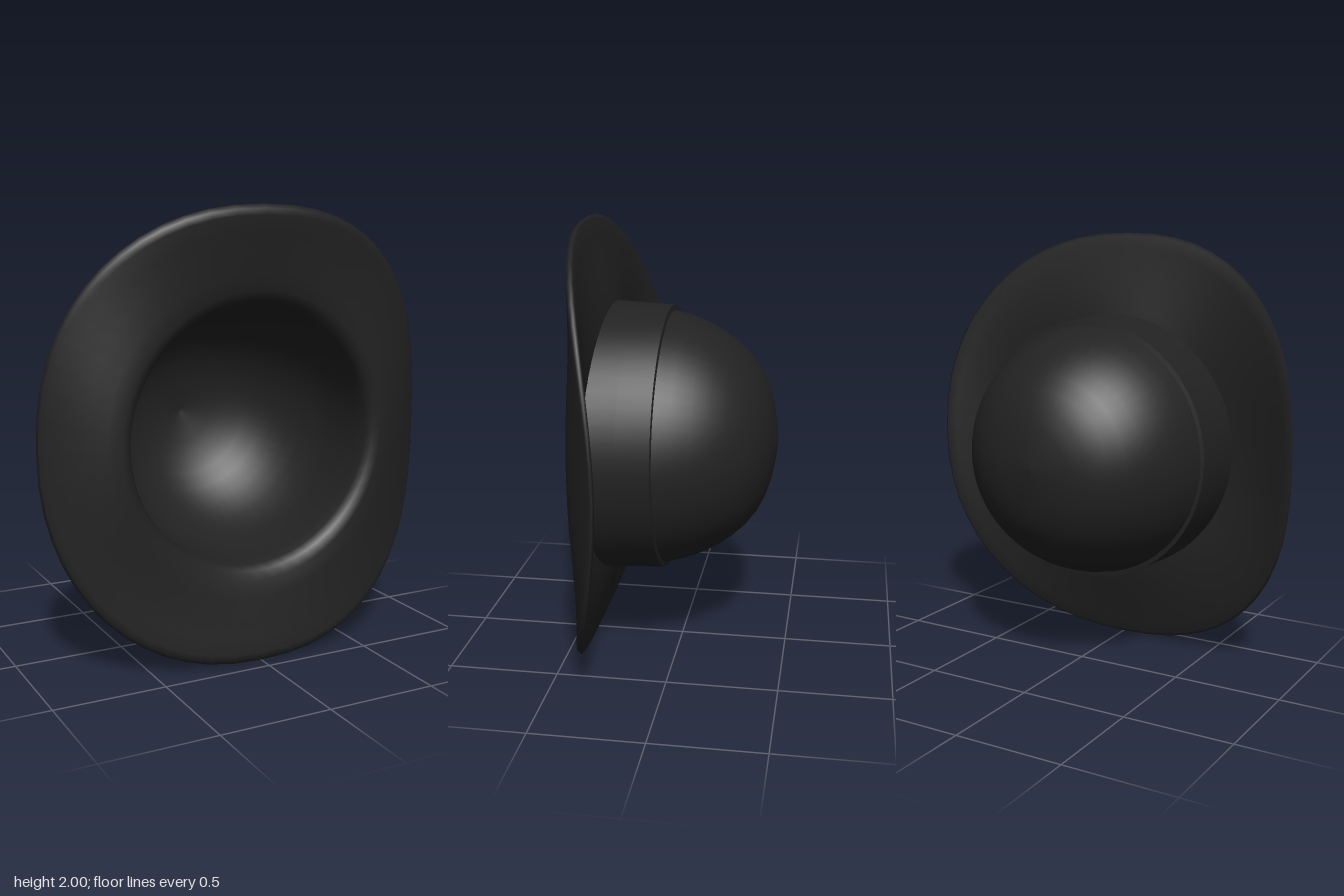
import * as THREE from 'three';

const SEG = 56;
const felt = new THREE.MeshStandardMaterial({ color: 0x222222 });
felt.name = 'black felt';

// One closed ring per station: [rx, ry, z at the sides, z at the ends, squareness]
function ringPositions(stations) {
  const pos = [];
  for (const [rx, ry, zSide, zEnd, n = 2] of stations) {
    for (let j = 0; j < SEG; j++) {
      const t = (j / SEG) * Math.PI * 2;
      const c = Math.cos(t), s = Math.sin(t);
      const px = Math.sign(c) * Math.abs(c) ** (2 / n);
      const py = Math.sign(s) * Math.abs(s) ** (2 / n);
      const k = Math.abs(py) ** 1.9;
      pos.push(rx * px, 1 + ry * py, zSide + (zEnd - zSide) * k);
    }
  }
  return pos;
}

// Quads between the rings from station a to station b
function ringIndex(a, b) {
  const idx = [];
  for (let i = a; i < b; i++) {
    for (let j = 0; j < SEG; j++) {
      const k = (j + 1) % SEG;
      const p = i * SEG + j, q = (i + 1) * SEG + j;
      const r = (i + 1) * SEG + k, s = i * SEG + k;
      idx.push(p, q, r, p, r, s);
    }
  }
  return idx;
}

function ringGeometry(stations) {
  const g = new THREE.BufferGeometry();
  g.setAttribute('position', new THREE.Float32BufferAttribute(ringPositions(stations), 3));
  g.setIndex(ringIndex(0, stations.length - 1));
  g.computeVertexNormals();
  return g;
}

export function createModel() {
  const hat = new THREE.Group();
  hat.name = 'bowlerHat';
  const add = (name, geometry) => {
    const mesh = new THREE.Mesh(geometry, felt);
    mesh.name = name;
    hat.add(mesh);
  };

  // Dome profile: radius, z
  const dome = [
    [0.583, 0.05], [0.562, -0.03], [0.532, -0.11], [0.495, -0.18], [0.45, -0.245],
    [0.395, -0.305], [0.33, -0.355], [0.255, -0.393], [0.17, -0.419], [0.08, -0.435], [0.001, -0.445],
  ];
  const inside = dome.map(([r, z]) => [Math.max(r - 0.022, 0.001), Math.max(r - 0.022, 0.001), z + 0.025, z + 0.025]).reverse();

  const liningPart = [...inside, [0.57, 0.57, 0.2, 0.2], [0.575, 0.575, 0.29, 0.29]];
  const brimPart = [
    // Rolled mouth and underside
    [0.582, 0.58, 0.345, 0.34, 2], [0.6, 0.6, 0.382, 0.375, 2], [0.635, 0.64, 0.394, 0.398, 2.03],
    [0.7, 0.71, 0.376, 0.41, 2.08], [0.78, 0.8, 0.338, 0.424, 2.15], [0.86, 0.89, 0.285, 0.438, 2.22],
    [0.915, 0.955, 0.241, 0.449, 2.28],
    // Rounded edge
    [0.935, 0.982, 0.224, 0.446, 2.3], [0.945, 1.0, 0.213, 0.425, 2.3], [0.932, 0.985, 0.206, 0.412, 2.3],
    // Upper side back to the crown
    [0.895, 0.93, 0.225, 0.398, 2.25], [0.82, 0.84, 0.268, 0.372, 2.18], [0.73, 0.74, 0.308, 0.343, 2.1],
    [0.65, 0.66, 0.332, 0.32, 2.04], [0.59, 0.595, 0.342, 0.305, 2],
  ];
  const crownPart = dome.map(([r, z]) => [r, r, z, z]);

  // Lining and brim share normals so the mouth stays smooth
  const shell = ringGeometry([...liningPart, ...brimPart]);
  const split = liningPart.length;
  const lining = shell.clone().setIndex(ringIndex(0, split));
  const brim = shell.clone().setIndex(ringIndex(split, split + brimPart.length - 1));
  add('lining', lining);
  add('brim', brim);

  // Outer dome
  add('crown', ringGeometry(crownPart));

  // Hat band with a crisp ledge at its upper edge
  add('band', ringGeometry([[0.607, 0.62, 0.36, 0.33], [0.602, 0.614, 0.2, 0.19], [0.597, 0.606, 0.05, 0.05]]));
  add('bandLedge', ringGeometry([[0.597, 0.606, 0.05, 0.05], [0.574, 0.574, 0.044, 0.044]]));

  return hat;
}
